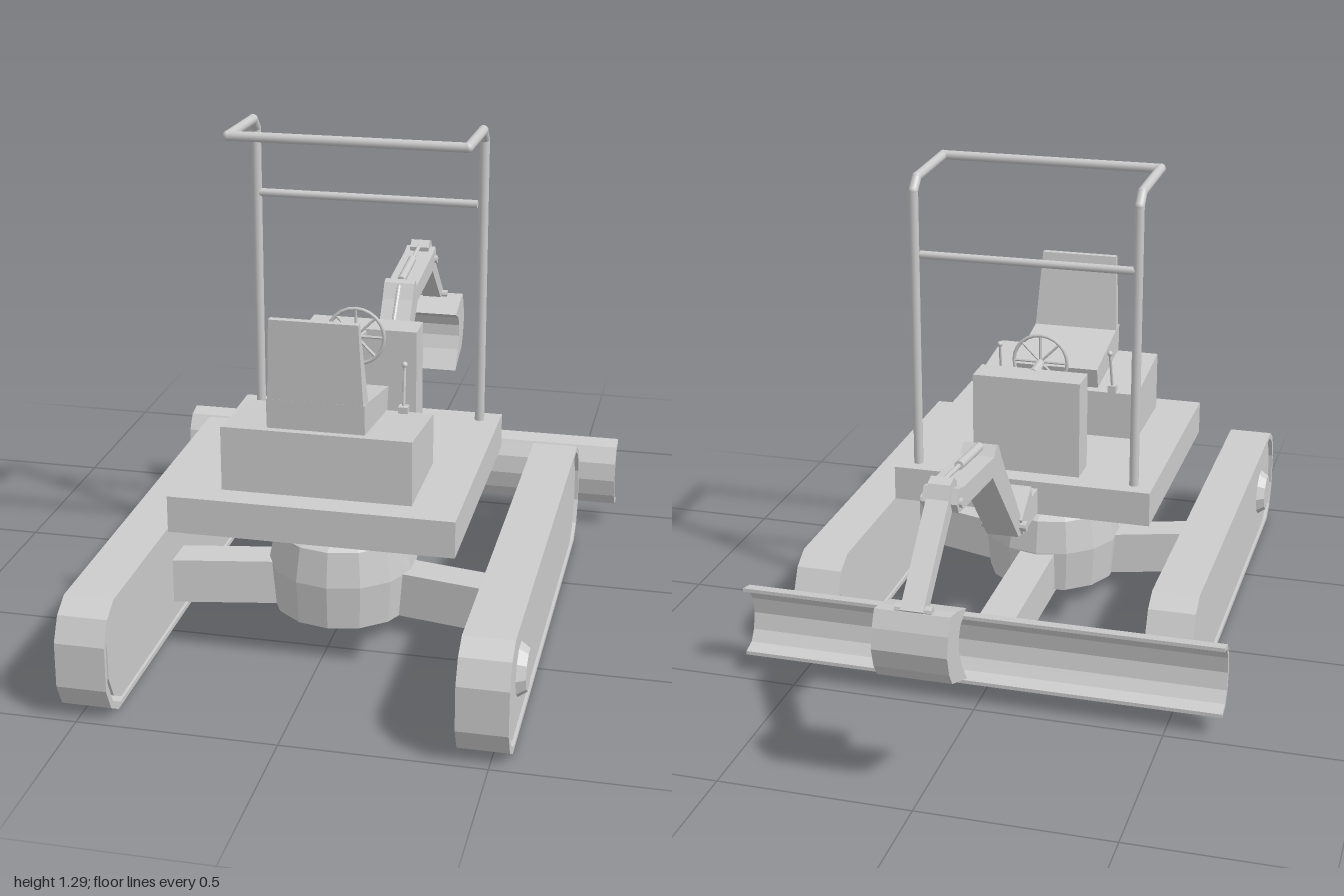
import * as THREE from 'three';

const flat = new THREE.MeshStandardMaterial({ color: 0xcccccc, flatShading: true, side: THREE.DoubleSide });
const smooth = new THREE.MeshStandardMaterial({ color: 0xcccccc });

export function createModel() {
  const model = new THREE.Group();

  const add = (name, geometry, material = flat, parent = model) => {
    const mesh = new THREE.Mesh(geometry, material);
    mesh.name = name;
    parent.add(mesh);
    return mesh;
  };
  const toShape = (pts, Type = THREE.Shape) => new Type(pts.map(([a, b]) => new THREE.Vector2(a, b)));

  // Side profile of [z, y] points, extruded across x and centred on x
  const profile = (name, pts, width, x = 0, hole = null) => {
    const shape = toShape(pts);
    if (hole) shape.holes.push(toShape(hole, THREE.Path));
    const g = new THREE.ExtrudeGeometry(shape, { depth: width, bevelEnabled: false });
    g.translate(0, 0, -width / 2).rotateY(-Math.PI / 2).translate(x, 0, 0);
    return add(name, g);
  };
  // Box from its limits
  const box = (name, x0, x1, y0, y1, z0, z1) =>
    add(name, new THREE.BoxGeometry(x1 - x0, y1 - y0, z1 - z0)
      .translate((x0 + x1) / 2, (y0 + y1) / 2, (z0 + z1) / 2));
  // Round bar between two points
  const bar = (name, a, b, r, sides = 12, r2 = r) => {
    const p = new THREE.Vector3(...a), q = new THREE.Vector3(...b);
    const m = add(name, new THREE.CylinderGeometry(r2, r, p.distanceTo(q), sides), sides > 10 ? smooth : flat);
    m.position.copy(p).lerp(q, 0.5);
    m.quaternion.setFromUnitVectors(new THREE.Vector3(0, 1, 0), q.sub(p).normalize());
    return m;
  };
  const ball = (name, p, r) => add(name, new THREE.SphereGeometry(r, 12, 8).translate(...p), smooth);

  // Long loop with chamfered round ends, shrunk by dz at the ends and dy at top and bottom
  const loop = (dz, dy) => {
    const z0 = -0.36 + dz, z1 = 1 - dz, y0 = dy, y1 = 0.295 - dy;
    const half = [[0.08, 0], [0.03, 0.03], [0, 0.09]];
    return [
      ...half.map(([a, b]) => [z0 + a, y0 + b]),
      ...half.map(([a, b]) => [z0 + a, y1 - b]).reverse(),
      ...half.map(([a, b]) => [z1 - a, y1 - b]),
      ...half.map(([a, b]) => [z1 - a, y0 + b]).reverse(),
    ];
  };

  for (const s of [-1, 1]) {
    // Tracks: belt, body and wheel hub
    profile('trackBelt', loop(0, 0), 0.125, s * 0.4825, loop(0.014, 0.012));
    profile('trackBody', loop(0.04, 0.012), 0.11, s * 0.4825);
    bar('trackHub', [s * 0.53, 0.15, 0.785], [s * 0.56, 0.15, 0.785], 0.072, 10, 0.052);

    // Slanted axle arm from the centre hub to the track
    const arm = new THREE.BoxGeometry(0.33, 0.12, 0.095);
    const p = arm.attributes.position;
    for (let i = 0; i < p.count; i++) {
      const t = p.getX(i) / 0.33 + 0.5;
      p.setXYZ(i, s * (0.1 + t * 0.33), 0.11 + p.getY(i) + 0.01 * t, 0.325 + p.getZ(i) + 0.082 * t);
    }
    add('axleArm', arm);

    // Control levers
    box('leverBase', s * 0.165 - 0.012, s * 0.165 + 0.012, 0.595, 0.62, 0.33, 0.355);
    bar('lever', [s * 0.165, 0.61, 0.343], [s * 0.162, 0.722, 0.318], 0.004, 8);
    ball('leverKnob', [s * 0.162, 0.722, 0.318], 0.008);
  }

  // Undercarriage hub and swivel
  const hub = [[0, 0.052], [0.185, 0.052], [0.195, 0.17], [0.178, 0.262], [0.125, 0.295], [0, 0.295]];
  add('undercarriageHub', new THREE.LatheGeometry(hub.map(([r, y]) => new THREE.Vector2(r, y)), 14)
    .translate(0, 0, 0.315));
  add('swivel', new THREE.CylinderGeometry(0.116, 0.116, 0.08, 14).translate(0, 0.332, 0.315));

  // Dozer blade and its central beam
  profile('bladeBeam', [[0.3, 0.045], [0.3, 0.17], [-0.34, 0.16], [-0.395, 0.15], [-0.395, 0.06], [-0.34, 0.045]], 0.1);
  profile('dozerBlade', [
    [-0.47, 0.252], [-0.425, 0.242], [-0.398, 0.2], [-0.39, 0.15], [-0.4, 0.1], [-0.425, 0.065], [-0.47, 0.056],
    [-0.47, 0.066], [-0.433, 0.076], [-0.413, 0.105], [-0.403, 0.15], [-0.411, 0.196], [-0.433, 0.232], [-0.47, 0.242],
  ], 1.29);

  // Platform, seat base, seat and console
  box('platform', -0.36, 0.36, 0.37, 0.465, -0.05, 0.68);
  profile('seatBase', [[0.33, 0.465], [0.61, 0.465], [0.61, 0.632], [0.33, 0.6]], 0.48);
  profile('seatCushion', [[0.343, 0.607], [0.605, 0.638], [0.61, 0.715], [0.57, 0.71], [0.328, 0.665]], 0.245);
  const back = profile('seatBack', [[0.605, 0.638], [0.622, 0.922], [0.603, 0.922], [0.565, 0.705], [0.58, 0.638]], 0.245);
  const bp = back.geometry.attributes.position;
  for (let i = 0; i < bp.count; i++) if (bp.getY(i) > 0.9) bp.setX(i, bp.getX(i) * 0.9);
  box('console', -0.15, 0.15, 0.465, 0.735, 0.01, 0.1);

  // Steering wheel
  const wheelY = 0.735, wheelZ = 0.163;
  bar('steeringColumn', [0, 0.722, 0.09], [0, wheelY, wheelZ + 0.018], 0.016, 10, 0.01);
  add('steeringRim', new THREE.TorusGeometry(0.076, 0.005, 6, 24).translate(0, wheelY, wheelZ), smooth);
  for (let i = 0; i < 8; i++) {
    const a = (i * Math.PI) / 4;
    bar('steeringSpoke', [0, wheelY, wheelZ], [0.076 * Math.cos(a), wheelY + 0.076 * Math.sin(a), wheelZ], 0.004, 6);
  }

  // Roll bar: one continuous frame with ball joints, plus a cross bar
  const side = [[0.465, 0], [1.24, 0], [1.27, 0.03], [1.278, 0.262]];
  const frame = [
    ...side.map(([y, z]) => [-0.306, y, z]),
    ...side.map(([y, z]) => [0.306, y, z]).reverse(),
  ];
  frame.forEach((pt, i) => {
    if (i === 0) return;
    bar('rollBar', frame[i - 1], pt, 0.013);
    if (i < frame.length - 1) ball('rollBarJoint', pt, 0.0135);
  });
  bar('rollBarCrossBar', [-0.306, 1.066, 0], [0.29, 1.066, 0], 0.011);

  // Digging arm: mount, boom, stick and pins
  profile('boomMount', [[-0.04, 0.375], [-0.04, 0.445], [-0.11, 0.445], [-0.115, 0.478], [-0.212, 0.42], [-0.2, 0.375]], 0.1);
  profile('boom', [
    [-0.185, 0.37], [-0.22, 0.374], [-0.46, 0.64], [-0.705, 0.66], [-0.745, 0.665], [-0.757, 0.69],
    [-0.74, 0.725], [-0.7, 0.715], [-0.445, 0.69], [-0.425, 0.714], [-0.405, 0.708], [-0.38, 0.665], [-0.18, 0.4],
  ], 0.088);
  profile('stick', [
    [-0.705, 0.73], [-0.73, 0.747], [-0.757, 0.738], [-0.772, 0.705], [-0.975, 0.512],
    [-0.955, 0.495], [-0.925, 0.505], [-0.745, 0.668], [-0.715, 0.68],
  ], 0.056);
  bar('boomPin', [-0.062, 0.4, -0.203], [0.062, 0.4, -0.203], 0.014, 10);
  bar('stickPin', [-0.052, 0.687, -0.733], [0.052, 0.687, -0.733], 0.012, 10);

  // Hydraulic rams, each a barrel with a thinner rod
  bar('boomRamBarrel', [0, 0.445, -0.19], [0, 0.6, -0.318], 0.013);
  bar('boomRamRod', [0, 0.59, -0.31], [0, 0.7, -0.405], 0.007, 8);
  bar('stickRamBarrel', [0, 0.708, -0.43], [0, 0.724, -0.6], 0.012);
  bar('stickRamRod', [0, 0.722, -0.59], [0, 0.735, -0.725], 0.006, 8);

  // Bucket with a hollowed front, and its hinge
  profile('bucket', [
    [-0.925, 0.498], [-0.97, 0.506], [-0.99, 0.465], [-1, 0.415], [-0.985, 0.365], [-0.963, 0.332],
    [-0.85, 0.288], [-0.89, 0.345], [-0.908, 0.385], [-0.91, 0.42], [-0.895, 0.45], [-0.85, 0.473],
  ], 0.184);
  bar('bucketPin', [-0.045, 0.507, -0.955], [0.045, 0.507, -0.955], 0.012, 10);

  return model;
}
